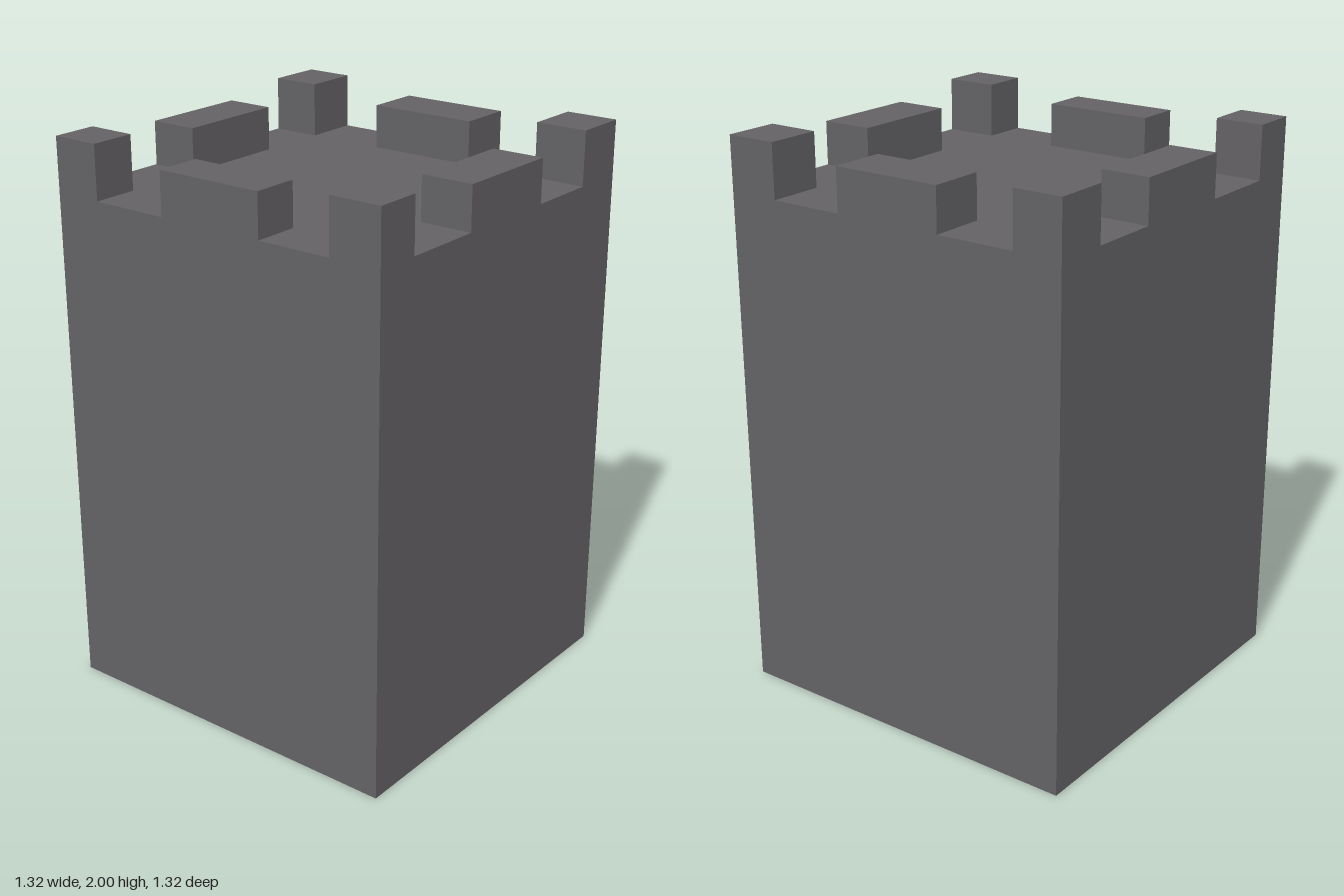
import * as THREE from 'three';

export function createModel() {
  const stone = new THREE.MeshStandardMaterial({ color: 0x646265 });
  stone.name = 'darkStone';
  const tower = new THREE.Group();
  tower.name = 'tower';

  // Box given by its extents along each axis
  const block = (name, [x0, x1], [y0, y1], [z0, z1]) => {
    const mesh = new THREE.Mesh(new THREE.BoxGeometry(x1 - x0, y1 - y0, z1 - z0), stone);
    mesh.position.set((x0 + x1) / 2, (y0 + y1) / 2, (z0 + z1) / 2);
    mesh.name = name;
    tower.add(mesh);
  };

  const half = 0.66, floor = 1.81;
  const mid = [-0.2, 0.2];
  const xEdges = { right: [-half, -0.485], left: [0.472, half] };
  const zEdges = { Back: [-half, -0.462], Front: [0.495, half] };

  // Solid tower body
  block('body', [-half, half], [0, floor], [-half, half]);

  // Tall corner posts
  for (const [side, x] of Object.entries(xEdges))
    for (const [end, z] of Object.entries(zEdges))
      block(`${side}${end}CornerPost`, x, [floor, 2], z);

  // Lower, wider merlons in the middle of each wall
  for (const [side, x] of Object.entries(xEdges)) block(`${side}Merlon`, x, [floor, 1.963], mid);
  for (const [end, z] of Object.entries(zEdges)) block(`${end.toLowerCase()}Merlon`, mid, [floor, 1.963], z);

  return tower;
}
